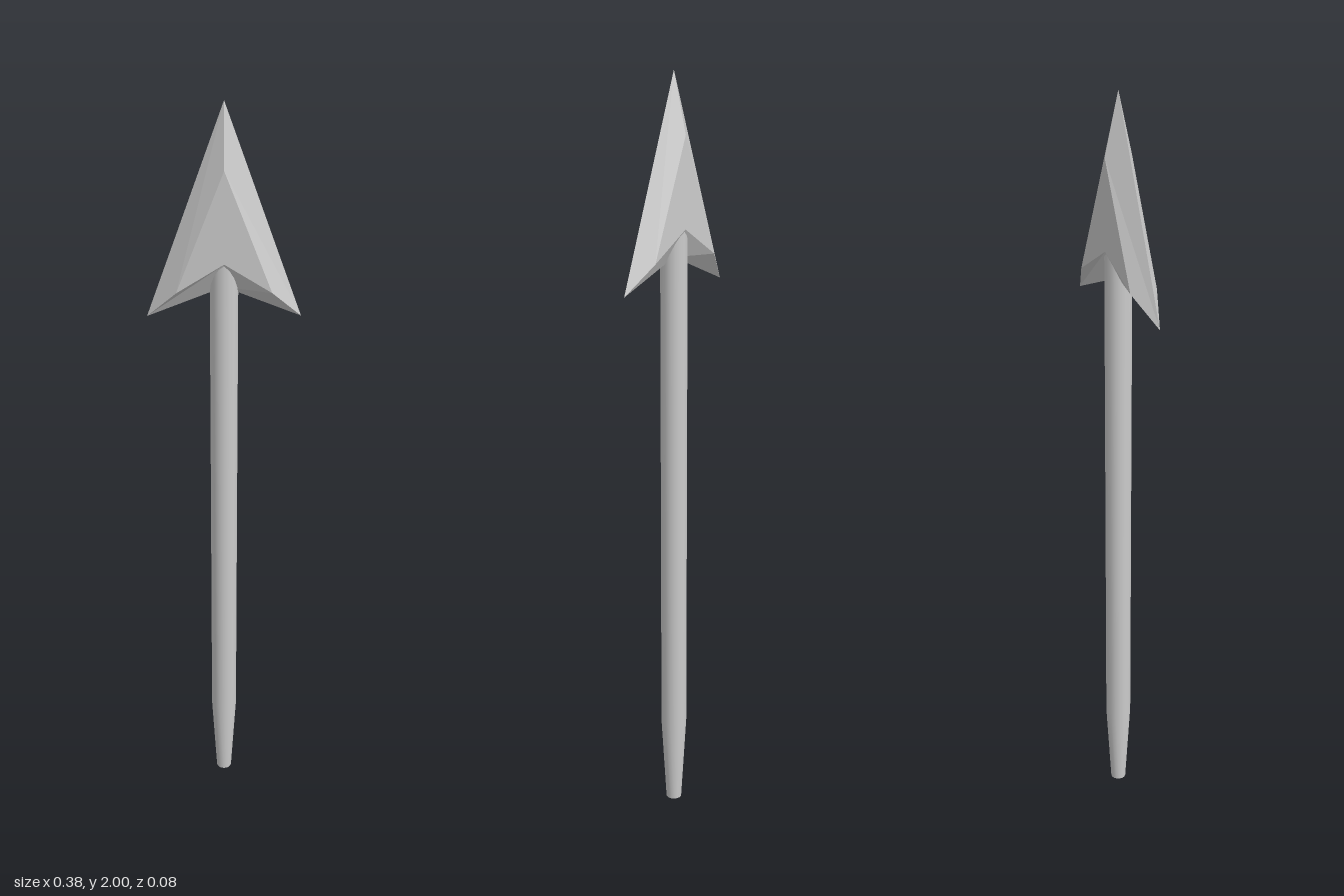
import * as THREE from 'three';

const material = new THREE.MeshStandardMaterial({ color: 0xcccccc });
const flatMaterial = new THREE.MeshStandardMaterial({ color: 0xcccccc, flatShading: true });

// Barbed outline, counter-clockwise seen from the front: tip, barb, notch, barb
function outline(tipY, barbX, barbY, notchY, z) {
  return [[0, tipY, z], [-barbX, barbY, z], [0, notchY, z], [barbX, barbY, z]];
}

// Bevelled head: a sharp outline at mid depth between two smaller flat faces
function createHeadGeometry() {
  const front = outline(1.846, 0.117, 1.541, 1.615, 0.038);
  const edge = outline(2, 0.191, 1.465, 1.542, 0);
  const back = outline(1.846, 0.117, 1.541, 1.615, -0.038);
  const positions = [];
  const triangle = (a, b, c) => positions.push(...a, ...b, ...c);

  // Flat faces, split down the middle
  triangle(front[0], front[1], front[2]);
  triangle(front[0], front[2], front[3]);
  triangle(back[0], back[2], back[1]);
  triangle(back[0], back[3], back[2]);

  // Bevels
  for (const [a, b] of [[front, edge], [edge, back]]) {
    for (let i = 0; i < 4; i++) {
      const j = (i + 1) % 4;
      triangle(b[i], b[j], a[j]);
      triangle(b[i], a[j], a[i]);
    }
  }
  const geometry = new THREE.BufferGeometry();
  geometry.setAttribute('position', new THREE.Float32BufferAttribute(positions, 3));
  geometry.computeVertexNormals();
  return geometry;
}

export function createModel() {
  const group = new THREE.Group();
  const add = (name, geometry, mat) => {
    const mesh = new THREE.Mesh(geometry, mat);
    mesh.name = name;
    group.add(mesh);
    return mesh;
  };

  add('arrowHead', createHeadGeometry(), flatMaterial);

  // Round shaft with a tapered foot, running up into the head
  const profile = [[0.021, 0], [0.035, 0.24], [0.035, 1.62]]
    .map(([r, y]) => new THREE.Vector2(r, y));
  add('shaft', new THREE.LatheGeometry(profile, 16), material);

  // Flat end of the shaft
  add('shaftEnd', new THREE.CircleGeometry(0.021, 16).rotateX(Math.PI / 2), material);

  return group;
}
